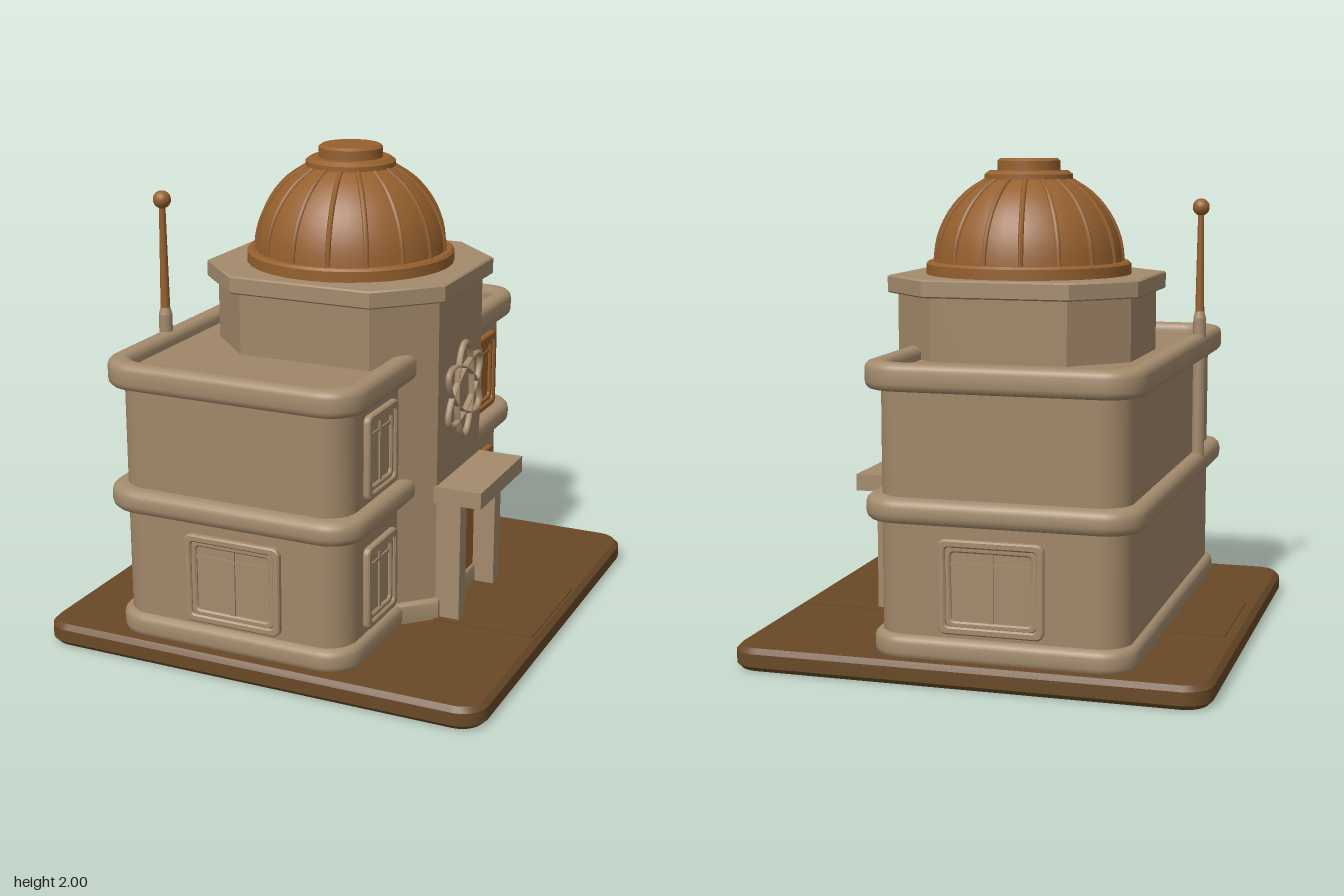
import * as THREE from 'three';
import { toCreasedNormals } from 'three/addons/utils/BufferGeometryUtils.js';

const paint = (color) => new THREE.MeshStandardMaterial({ color });
const WALL = paint(0xa08668), TRIM = paint(0xa48b6d), RUST = paint(0x96602e), GROUND = paint(0x694926);

function mesh(name, geometry, material, x = 0, y = 0, z = 0) {
  const m = new THREE.Mesh(geometry, material);
  m.name = name;
  m.position.set(x, y, z);
  return m;
}

// Rectangle with rounded corners, centred on the origin
function roundRect(hw, hh, r, Type = THREE.Shape) {
  const s = new Type();
  s.absarc(hw - r, hh - r, r, 0, Math.PI / 2);
  s.absarc(-hw + r, hh - r, r, Math.PI / 2, Math.PI);
  s.absarc(-hw + r, -hh + r, r, Math.PI, Math.PI * 1.5);
  s.absarc(hw - r, -hh + r, r, Math.PI * 1.5, Math.PI * 2);
  s.closePath();
  return s;
}

// Rectangle with cut corners
function octagon(hw, hh, c) {
  const pts = [[hw, -hh + c], [hw, hh - c], [hw - c, hh], [-hw + c, hh],
    [-hw, hh - c], [-hw, -hh + c], [-hw + c, -hh], [hw - c, -hh]];
  return new THREE.Shape(pts.map(([x, y]) => new THREE.Vector2(x, y)));
}

// Extrusion of total thickness d along z, with edges bevelled inwards by b
function extrude(shape, d, b, steps = 3, curveSegments = 5) {
  const g = new THREE.ExtrudeGeometry(shape, {
    depth: d - 2 * b, bevelEnabled: b > 0, bevelSize: b, bevelThickness: b,
    bevelOffset: -b, bevelSegments: steps, curveSegments,
  });
  return toCreasedNormals(g.translate(0, 0, b), 0.6);
}

// The same, lying flat between heights y0 and y1
function slab(name, shape, y0, y1, b, material, x = 0, steps = 3) {
  return mesh(name, extrude(shape, y1 - y0, b, steps).rotateX(-Math.PI / 2), material, x, y0);
}

// Framed window facing +z, with its back on z = 0
function makeWindow(name, w, h, material) {
  const g = new THREE.Group();
  g.name = name;
  const ring = (grow, bar, depth) => {
    const s = roundRect(w / 2 - grow, h / 2 - grow, 0.03);
    s.holes.push(roundRect(w / 2 - grow - bar, h / 2 - grow - bar, 0.015, THREE.Path));
    return extrude(s, depth, 0.006, 1, 3);
  };
  g.add(mesh('outerFrame', ring(0, 0.03, 0.03), material));
  g.add(mesh('innerFrame', ring(0.025, 0.025, 0.02), material));
  g.add(mesh('pane', new THREE.BoxGeometry(w - 0.08, h - 0.08, 0.01), material, 0, 0, 0.003));
  g.add(mesh('mullion', new THREE.BoxGeometry(0.018, h - 0.08, 0.014), material, 0, 0, 0.008));
  g.add(mesh('transom', new THREE.BoxGeometry(w - 0.08, 0.014, 0.012), material, 0, h * 0.24, 0.008));
  return g;
}

export function createModel() {
  const model = new THREE.Group();
  model.name = 'domedBuilding';
  const BX = -0.128;

  // Ground plate with paths on two sides
  model.add(slab('groundPlate', roundRect(0.96, 0.96, 0.11), 0, 0.093, 0.02, GROUND, 0, 1));
  model.add(mesh('frontPath', new THREE.BoxGeometry(0.44, 0.02, 0.54), GROUND, 0.71, 0.088));
  model.add(mesh('backPath', new THREE.BoxGeometry(0.26, 0.02, 0.54), GROUND, -0.77, 0.088));

  // Main block, its plinth and its rounded ledge
  model.add(slab('mainWalls', roundRect(0.5, 0.87, 0.12), 0.08, 1.19, 0, WALL, BX));
  model.add(slab('plinth', roundRect(0.53, 0.9, 0.14), 0.08, 0.18, 0.03, TRIM, BX));
  model.add(slab('middleLedge', roundRect(0.555, 0.925, 0.15), 0.62, 0.72, 0.035, TRIM, BX));

  // Parapet round the sunken roof
  const parapet = roundRect(0.555, 0.925, 0.15);
  parapet.holes.push(roundRect(0.47, 0.84, 0.1, THREE.Path));
  model.add(slab('parapet', parapet, 1.13, 1.24, 0.03, TRIM, BX));

  // Eight-sided tower
  model.add(slab('tower', octagon(0.495, 0.45, 0.21), 0.08, 1.47, 0, WALL));
  model.add(slab('towerPlinth', octagon(0.515, 0.47, 0.215), 0.08, 0.18, 0.015, TRIM));
  model.add(slab('towerCornice', octagon(0.53, 0.495, 0.225), 1.45, 1.522, 0.006, TRIM, 0, 1));

  // Dome with base ring, collar and cap
  const R = 0.395, DY = 1.56;
  const profile = [[0.43, 1.51], [0.43, 1.565], [0.42, 1.575], [R, 1.575]];
  for (let i = 1; i <= 10; i++) {
    const a = (i / 10) * 1.13;
    profile.push([R * Math.cos(a), DY + R * Math.sin(a)]);
  }
  profile.push([0.185, 1.915], [0.185, 1.935], [0.165, 1.95], [0.132, 1.95], [0.132, 1.99], [0.12, 2], [0, 2]);
  const dome = new THREE.LatheGeometry(profile.map(([x, y]) => new THREE.Vector2(x, y)), 32);
  model.add(mesh('dome', toCreasedNormals(dome, 0.6), RUST));

  // Ribs over the dome
  const ribs = new THREE.Group();
  ribs.name = 'domeRibs';
  const ribPath = new THREE.CatmullRomCurve3([0, 0.28, 0.56, 0.84, 1.13].map(
    (a) => new THREE.Vector3(R * Math.cos(a), DY + R * Math.sin(a), 0)));
  const ribGeometry = new THREE.TubeGeometry(ribPath, 12, 0.011, 6);
  for (let i = 0; i < 16; i++) {
    const rib = mesh('domeRib', ribGeometry, RUST);
    rib.rotation.y = ((i + 0.5) / 16) * Math.PI * 2;
    ribs.add(rib);
  }
  model.add(ribs);

  // Aerial on the back wall
  const aerial = new THREE.Group();
  aerial.name = 'aerial';
  aerial.position.set(-0.652, 0, 0.415);
  aerial.add(mesh('aerialSocket', new THREE.CylinderGeometry(0.028, 0.028, 0.62, 12), TRIM, 0, 1.0));
  aerial.add(mesh('aerialShoulder', new THREE.CylinderGeometry(0.02, 0.028, 0.03, 12), TRIM, 0, 1.325));
  aerial.add(mesh('aerialRod', new THREE.CylinderGeometry(0.013, 0.02, 0.45, 12), RUST, 0, 1.55));
  aerial.add(mesh('aerialBall', new THREE.SphereGeometry(0.037, 16, 12), RUST, 0, 1.79));
  model.add(aerial);

  // Windows: two floors beside the tower, one on each end wall
  for (const side of [1, -1]) {
    for (const y of [0.375, 0.915]) {
      const w = makeWindow('sideWindow', 0.285, 0.345, side > 0 ? TRIM : RUST);
      w.position.set(0.371, y, side * 0.558);
      w.rotation.y = Math.PI / 2;
      model.add(w);
    }
    const end = makeWindow('endWindow', 0.42, 0.37, TRIM);
    end.position.set(-0.105, 0.385, side * 0.869);
    end.rotation.y = side > 0 ? 0 : Math.PI;
    model.add(end);
    // Porch walls
    model.add(mesh('porchWall', new THREE.BoxGeometry(0.17, 0.54, 0.07), TRIM, 0.515, 0.35, side * 0.205));
  }

  // Porch roof and door
  model.add(mesh('porchRoof', new THREE.BoxGeometry(0.24, 0.07, 0.5), TRIM, 0.57, 0.637));
  model.add(mesh('door', new THREE.BoxGeometry(0.02, 0.51, 0.34), RUST, 0.495, 0.345));

  // Emblem of three crossed oval rings
  const emblem = new THREE.Group();
  emblem.name = 'ringEmblem';
  emblem.position.set(0.515, 1.02, 0);
  emblem.rotation.y = Math.PI / 2;
  for (let i = 0; i < 3; i++) {
    const ring = mesh('ovalRing', new THREE.TorusGeometry(0.2, 0.014, 6, 40), TRIM);
    ring.scale.y = 0.42;
    ring.rotation.z = Math.PI / 2 + (i * Math.PI) / 3;
    emblem.add(ring);
  }
  model.add(emblem);

  return model;
}
